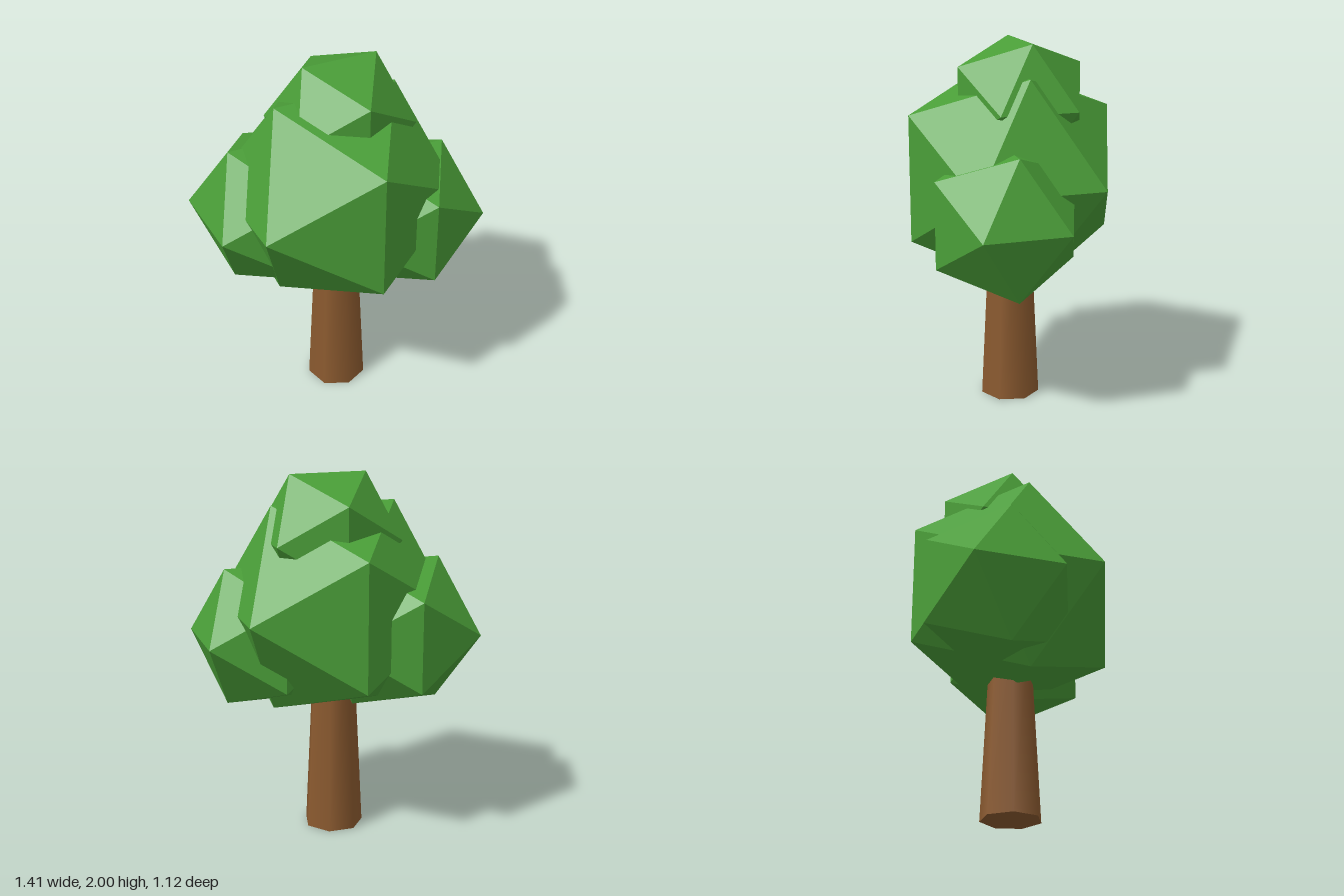
import * as THREE from 'three';

export function createModel() {
  const tree = new THREE.Group();
  tree.name = 'tree';

  const leafGreen = new THREE.MeshStandardMaterial({ color: 0x4a9e38 });
  leafGreen.name = 'leaf green';
  leafGreen.flatShading = true;
  const barkBrown = new THREE.MeshStandardMaterial({ color: 0x8b5a2f });
  barkBrown.name = 'bark brown';

  // Tapered seven-sided trunk, its top hidden in the foliage
  const height = 1;
  const trunk = new THREE.Mesh(new THREE.CylinderGeometry(0.116, 0.165, height, 7), barkBrown);
  trunk.name = 'trunk';
  trunk.position.set(-0.013, height / 2, 0.003);
  tree.add(trunk);

  // Overlapping faceted clumps of leaves: name, radius, centre
  const clumps = [
    ['mainFoliage', 0.656, [-0.014, 1.277, 0]],
    ['topFoliage', 0.4, [0.03, 1.66, -0.04]],
    ['leftFoliage', 0.444, [0.325, 1.107, 0.13]],
    ['rightFoliage', 0.464, [-0.311, 1.15, -0.166]],
  ];
  for (const [name, radius, centre] of clumps) {
    const clump = new THREE.Mesh(new THREE.IcosahedronGeometry(radius, 0), leafGreen);
    clump.name = name;
    clump.position.set(...centre);
    tree.add(clump);
  }
  return tree;
}
